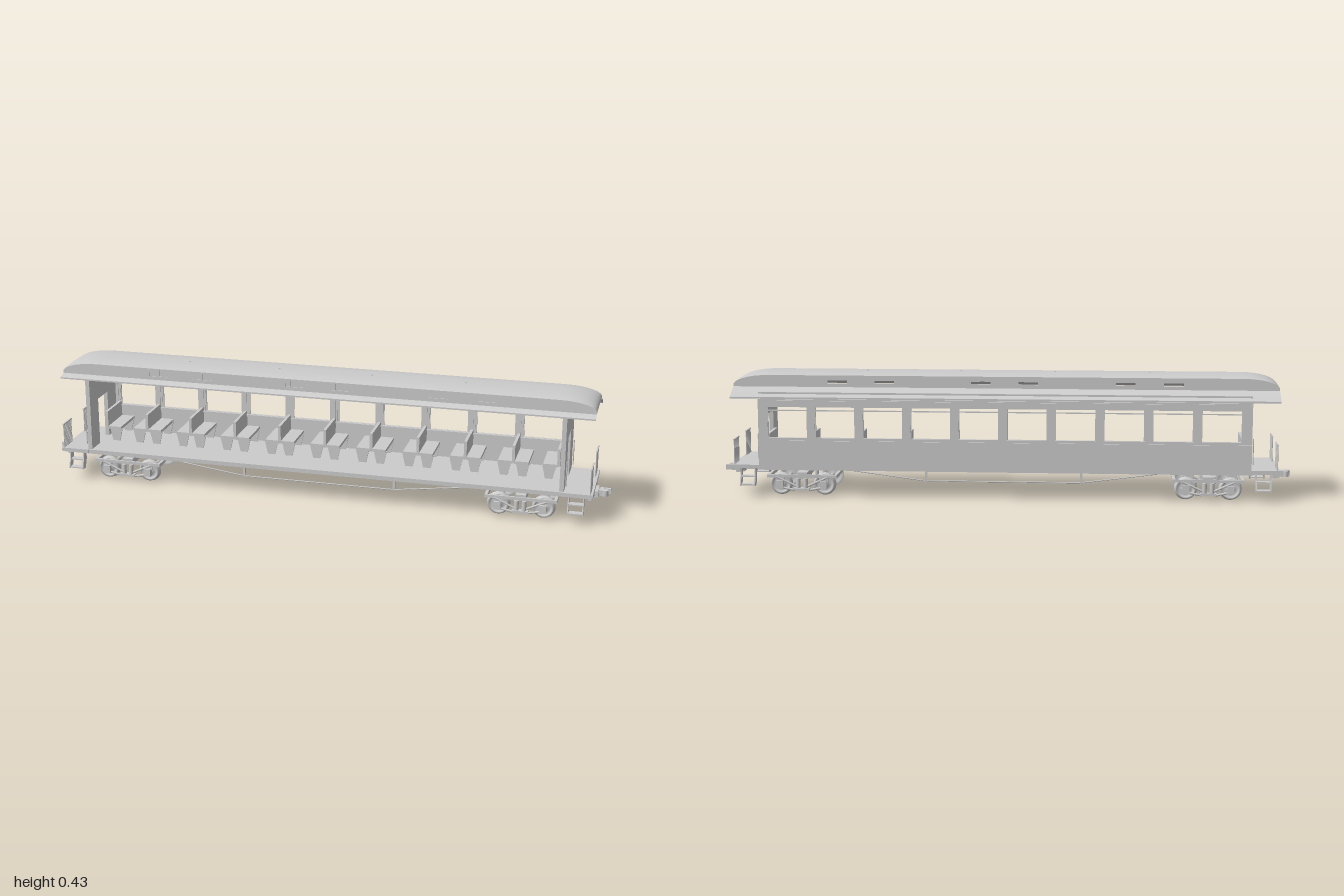
import * as THREE from 'three';
import { ParametricGeometry } from 'three/addons/geometries/ParametricGeometry.js';

const mat = new THREE.MeshStandardMaterial({ color: 0xcccccc });
const thin = new THREE.MeshStandardMaterial({ color: 0xcccccc, side: THREE.DoubleSide });

function add(parent, name, geo, x = 0, y = 0, z = 0, m = mat) {
  const mesh = new THREE.Mesh(geo, m);
  mesh.name = name;
  mesh.position.set(x, y, z);
  parent.add(mesh);
  return mesh;
}
const box = (p, name, w, h, d, x, y, z) => add(p, name, new THREE.BoxGeometry(w, h, d), x, y, z);

function rod(p, name, a, b, r) {
  const va = new THREE.Vector3(...a), dir = new THREE.Vector3(...b).sub(va);
  const mesh = add(p, name, new THREE.CylinderGeometry(r, r, dir.length(), 8));
  mesh.position.copy(va).addScaledVector(dir, 0.5);
  mesh.quaternion.setFromUnitVectors(new THREE.Vector3(0, 1, 0), dir.normalize());
  return mesh;
}
function group(parent, name, x = 0, y = 0, z = 0) {
  const g = new THREE.Group();
  g.name = name;
  g.position.set(x, y, z);
  parent.add(g);
  return g;
}
const polygon = pts => new THREE.Shape(pts.map(p => new THREE.Vector2(...p)));
const rectHole = (x0, y0, x1, y1) => new THREE.Path([[x0, y0], [x0, y1], [x1, y1], [x1, y0]].map(p => new THREE.Vector2(...p)));
const extrude = (shape, depth) => new THREE.ExtrudeGeometry(shape, { depth, bevelEnabled: false });

// Arched lower roof height across z, and bullnosed upper roof height along x
const roofY = z => 0.392 - 0.04 * Math.pow(Math.abs(z) / 0.152, 3);
const END = 0.945, DECK = 0.091;
function deckTop(x) {
  const t = Math.max(0, (Math.abs(x) - 0.82) / (END - 0.82));
  return 0.39 + 0.034 * Math.sqrt(Math.max(0, 1 - t * t));
}

function buildRoof(car) {
  const roof = group(car, 'roof');
  // Lower roof: side strips, plus full-width canopies over the platforms
  const strip = (name, x0, x1, z0, z1) => {
    for (const lift of [0, -0.004]) add(roof, name, new ParametricGeometry((u, v, p) => {
      const z = z0 + (z1 - z0) * v;
      p.set(x0 + (x1 - x0) * u, roofY(z) + lift, z);
    }, 1, 16), 0, 0, 0, thin);
  };
  strip('backEave', -END, END, -0.152, -DECK + 0.004);
  strip('frontEave', -END, END, DECK - 0.004, 0.117);
  strip('canopy', 0.83, END, -DECK, DECK);
  strip('canopy', -END, -0.83, -DECK, DECK);
  // Eave edge trim
  box(roof, 'eaveTrim', 2 * END, 0.006, 0.003, 0, 0.352, -0.151);
  box(roof, 'eaveTrim', 2 * END, 0.005, 0.002, 0, roofY(0.117) - 0.002, 0.116);

  // Clerestory deck
  const xAt = u => END * Math.sin((u - 0.5) * Math.PI);
  for (const lift of [0, -0.003]) add(roof, 'clerestoryRoof', new ParametricGeometry((u, v, p) => {
    const x = xAt(u), z = DECK * (2 * v - 1), top = deckTop(x);
    const crown = 0.008 * (top - 0.386) / 0.038;
    p.set(x, top + crown * (1 - Math.pow(Math.abs(z) / DECK, 2.5)) + lift, z);
  }, 64, 16), 0, 0, 0, thin);

  // Clerestory sides with paired openings
  const outline = [[-END, 0.382], [END, 0.382]];
  for (let i = 0; i <= 48; i++) {
    const x = xAt(1 - i / 48);
    outline.push([x, deckTop(x)]);
  }
  const side = polygon(outline);
  for (const x of [-0.585, -0.42, -0.085, 0.08, 0.415, 0.58]) side.holes.push(rectHole(x - 0.034, 0.396, x + 0.034, 0.419));
  for (const z of [-DECK, DECK - 0.003]) add(roof, 'clerestorySide', extrude(side, 0.003), 0, 0, z);
  for (const x of [-0.5, -0.17, 0.16, 0.49]) add(roof, 'roofVent', new THREE.CylinderGeometry(0.006, 0.008, 0.004, 12), x, 0.432, 0);
}

function buildBody(car) {
  const body = group(car, 'body');
  box(body, 'floor', 1.71, 0.012, 0.256, 0, 0.106, -0.004);
  box(body, 'frontSill', 1.9, 0.014, 0.008, 0, 0.104, 0.12);
  box(body, 'backSill', 1.71, 0.016, 0.008, 0, 0.104, -0.13);

  // Back wall with ten windows
  const wall = polygon([[-0.85, 0.1], [0.85, 0.1], [0.85, 0.37], [-0.85, 0.37]]);
  for (let i = 0; i < 10; i++) {
    const x = (i - 4.5) * 0.1665;
    wall.holes.push(rectHole(x - 0.071, 0.21, x + 0.071, 0.318));
    box(body, 'sashRail', 0.142, 0.004, 0.004, x, 0.306, -0.13);
    for (const s of [-1, 1]) box(body, 'windowPost', 0.004, 0.108, 0.006, x + s * 0.069, 0.264, -0.13);
  }
  add(body, 'backWall', extrude(wall, 0.01), 0, 0, -0.135);
  for (let i = 0; i <= 10; i++) box(body, 'innerRib', 0.01, 0.255, 0.004, (i - 5) * 0.1665, 0.238, -0.124);
  for (const y of [0.198, 0.338]) box(body, 'wallMoulding', 1.7, 0.005, 0.005, 0, y, -0.136);
  box(body, 'innerSill', 1.68, 0.005, 0.008, 0, 0.207, -0.122);

  // Arched end walls with doorways; the front side is open
  const arch = [];
  for (let i = 0; i <= 20; i++) {
    const z = 0.117 - 0.252 * i / 20;
    arch.push([-z, roofY(z) - 0.002]);
  }
  const end = polygon([[0.135, 0.1], [0.044, 0.1], [0.044, 0.28], [-0.044, 0.28], [-0.044, 0.1], [-0.117, 0.1], ...arch]);
  for (const x of [-0.852, 0.837]) add(body, 'endWall', extrude(end, 0.015), x).rotation.y = Math.PI / 2;
}

// Back-to-back benches at every window pier, single ones at the ends
function buildSeats(car) {
  const legShape = polygon([[-0.013, 0.112], [0.013, 0.112], [0.024, 0.16], [-0.024, 0.16]]);
  const leg = extrude(legShape, 0.004);
  for (let i = 0; i <= 10; i++) {
    const bench = group(car, 'bench', (i - 5) * 0.1665, 0, 0);
    if (i === 0) bench.position.x += 0.012;
    if (i === 10) bench.position.x -= 0.012;
    box(bench, 'seatBack', 0.01, 0.063, 0.135, 0, 0.191, -0.0565);
    for (const s of [-1, 1]) {
      if ((i === 0 && s < 0) || (i === 10 && s > 0)) continue;
      box(bench, 'seatCushion', 0.05, 0.01, 0.135, s * 0.028, 0.162, -0.0565);
      for (const z of [0.0, -0.115]) add(bench, 'seatLeg', leg, s * 0.032, 0, z);
    }
  }
}

function buildPlatform(car, s) {
  const end = group(car, 'platform');
  box(end, 'platformDeck', 0.1, 0.012, 0.256, s * 0.9, 0.106, 0);
  box(end, 'bufferBeam', 0.02, 0.026, 0.138, s * 0.938, 0.09, 0);
  box(end, 'beamWing', 0.012, 0.014, 0.19, s * 0.936, 0.087, 0);
  // Coupler
  box(end, 'couplerPocket', 0.03, 0.022, 0.06, s * 0.945, 0.08, 0);
  box(end, 'couplerShank', 0.13, 0.014, 0.014, s * 0.915, 0.081, 0);
  add(end, 'couplerKnuckle', new THREE.CylinderGeometry(0.011, 0.011, 0.02, 14), s * 0.982, 0.081, s * 0.01);
  box(end, 'couplerJaw', 0.022, 0.018, 0.01, s * 0.989, 0.081, -s * 0.012);
  box(end, 'couplerHead', 0.012, 0.02, 0.034, s * 0.97, 0.081, 0);

  for (const side of [-1, 1]) {
    // End railing
    for (let i = 0; i < 10; i++) rod(end, 'railBar', [s * 0.941, 0.11, side * (0.058 + i * 0.0074)], [s * 0.941, 0.2, side * (0.058 + i * 0.0074)], 0.0016);
    box(end, 'topRail', 0.005, 0.004, 0.072, s * 0.941, 0.2, side * 0.091);
    rod(end, 'grabIron', [s * 0.858, 0.13, side * 0.112], [s * 0.858, 0.22, side * 0.112], 0.002);
    // Flared steps
    const stringer = extrude(polygon([[0.1, 0.102], [0.122, 0.102], [0.124, 0.08], [0.136, 0.046], [0.136, 0.038], [0.114, 0.038], [0.1, 0.07]].map(([z, y]) => [-side * z, y])), 0.004);
    for (const dx of [-0.027, 0.023]) add(end, 'stepStringer', stringer, s * 0.895 + dx).rotation.y = Math.PI / 2;
    box(end, 'stepTread', 0.05, 0.004, 0.024, s * 0.895, 0.042, side * 0.123);
    box(end, 'stepTread', 0.05, 0.004, 0.024, s * 0.895, 0.07, side * 0.112);
  }
}

const wheelProfile = [[0, 0.094], [0.012, 0.096], [0.014, 0.09], [0.027, 0.088], [0.029, 0.096], [0.036, 0.096], [0.037, 0.084],
  [0.04, 0.083], [0.04, 0.08], [0.029, 0.08], [0.027, 0.084], [0.014, 0.084], [0, 0.08]].reverse().map(p => new THREE.Vector2(...p));

function buildTruck(car, x) {
  const truck = group(car, 'truck', x);
  box(truck, 'bolster', 0.036, 0.02, 0.21, 0, 0.072, 0);
  add(truck, 'centrePlate', new THREE.CylinderGeometry(0.025, 0.025, 0.022, 20), 0, 0.09, 0);
  for (const s of [-1, 1]) {
    box(truck, 'endBeam', 0.01, 0.012, 0.21, s * 0.118, 0.068, 0);
    rod(truck, 'axle', [s * 0.077, 0.04, -0.112], [s * 0.077, 0.04, 0.112], 0.007);
    for (const side of [-1, 1]) {
      const wheel = add(truck, 'wheel', new THREE.LatheGeometry(wheelProfile, 32), s * 0.077, 0.04, 0, thin);
      wheel.rotation.x = side * Math.PI / 2;
      box(truck, 'journalBox', 0.024, 0.028, 0.018, s * 0.077, 0.04, side * 0.109);
      box(truck, 'pedestal', 0.032, 0.02, 0.006, s * 0.077, 0.059, side * 0.105);
      rod(truck, 'archBar', [s * 0.077, 0.03, side * 0.107], [s * 0.025, 0.02, side * 0.107], 0.004);
      rod(truck, 'archBar', [s * 0.09, 0.066, side * 0.107], [s * 0.02, 0.034, side * 0.107], 0.004);
      add(truck, 'spring', new THREE.CylinderGeometry(0.008, 0.008, 0.034, 12), s * 0.013, 0.045, side * 0.107);
    }
  }
  for (const side of [-1, 1]) {
    box(truck, 'sideFrame', 0.246, 0.01, 0.008, 0, 0.069, side * 0.105);
    box(truck, 'springPlank', 0.056, 0.008, 0.02, 0, 0.024, side * 0.107);
  }
}

function buildTrussRods(car) {
  for (const z of [-0.1, 0.1]) {
    const pts = [[-0.6, 0.1, z], [-0.27, 0.057, z], [0.27, 0.057, z], [0.6, 0.1, z]];
    for (let i = 0; i < 3; i++) rod(car, 'trussRod', pts[i], pts[i + 1], 0.0022);
    for (const x of [-0.27, 0.27]) box(car, 'queenPost', 0.008, 0.046, 0.008, x, 0.078, z);
  }
  for (const x of [-0.27, 0.27]) box(car, 'needleBeam', 0.014, 0.008, 0.22, x, 0.097, 0);
}

export function createModel() {
  const model = new THREE.Group();
  model.name = 'passengerCar';
  const car = group(model, 'car', 0, 0, 0.009);
  buildBody(car);
  buildRoof(car);
  buildSeats(car);
  buildTrussRods(car);
  for (const s of [-1, 1]) {
    buildPlatform(car, s);
    buildTruck(car, s * 0.708);
  }
  return model;
}
